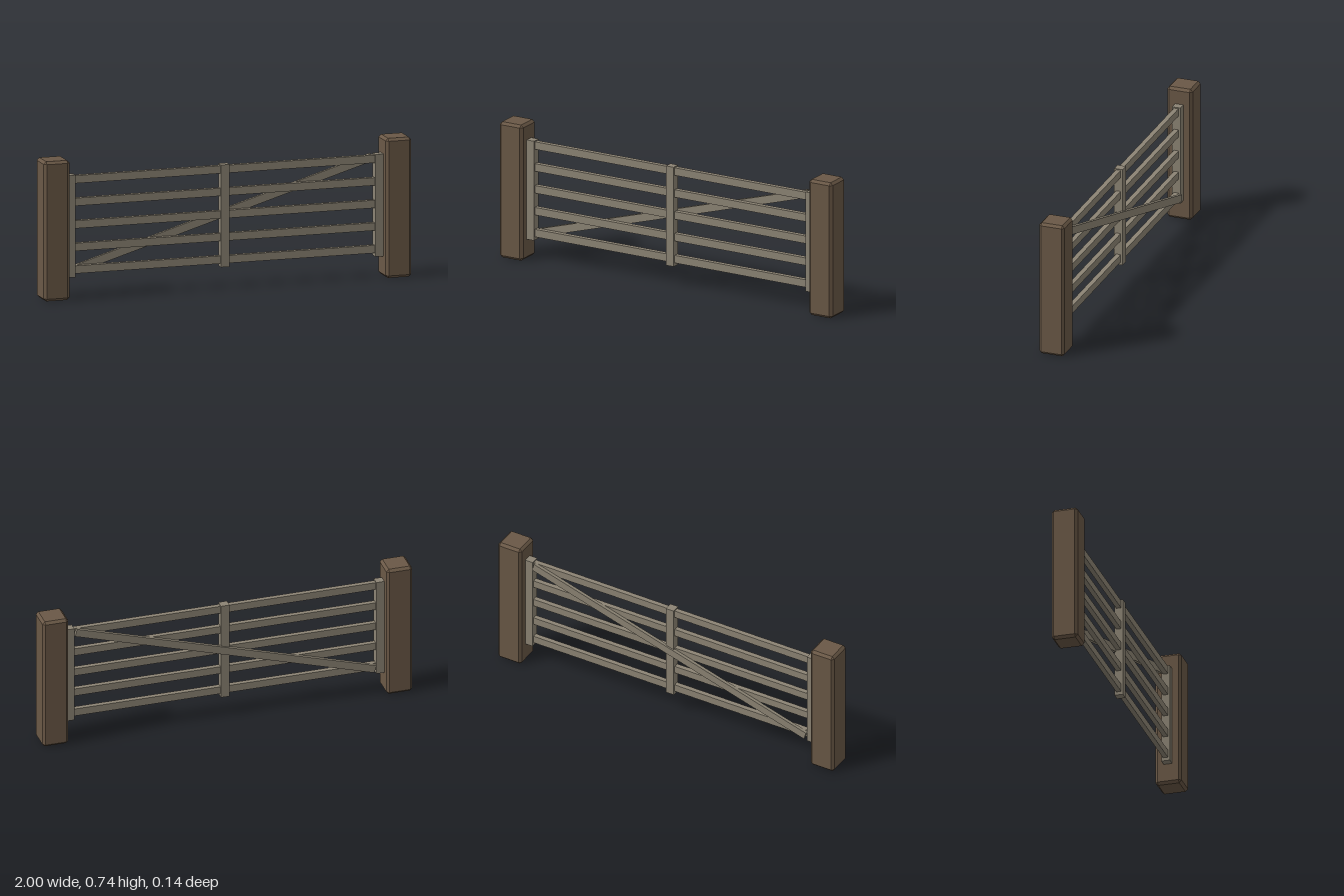
import * as THREE from 'three';
import { ConvexGeometry } from 'three/addons/geometries/ConvexGeometry.js';

// Box with every edge cut at 45 degrees
function chamferedBox(w, h, d, c) {
  const points = [];
  for (const x of [-1, 1]) for (const y of [-1, 1]) for (const z of [-1, 1]) {
    const [a, b, e] = [w / 2, h / 2, d / 2];
    points.push(
      new THREE.Vector3(x * a, y * (b - c), z * (e - c)),
      new THREE.Vector3(x * (a - c), y * b, z * (e - c)),
      new THREE.Vector3(x * (a - c), y * (b - c), z * e)
    );
  }
  return new ConvexGeometry(points);
}

export function createModel() {
  const model = new THREE.Group();
  model.name = 'fieldGate';

  const postWood = new THREE.MeshStandardMaterial({ color: 0x6a5846 });
  postWood.name = 'dark post wood';
  const gateWood = new THREE.MeshStandardMaterial({ color: 0x8c8474 });
  gateWood.name = 'weathered gate wood';

  const add = (name, geometry, material, x, y, z) => {
    const mesh = new THREE.Mesh(geometry, material);
    mesh.name = name;
    mesh.position.set(x, y, z);
    model.add(mesh);
    return mesh;
  };

  // Posts at both ends
  const postGeometry = chamferedBox(0.14, 0.737, 0.14, 0.0135);
  add('leftPost', postGeometry, postWood, 0.93, 0.3685, 0);
  add('rightPost', postGeometry, postWood, -0.93, 0.3685, 0);

  // Upright stiles: two ends and the middle
  const stileGeometry = new THREE.BoxGeometry(0.047, 0.54, 0.046);
  add('leftStile', stileGeometry, gateWood, 0.84, 0.379, 0);
  add('middleStile', stileGeometry, gateWood, 0, 0.379, 0);
  add('rightStile', stileGeometry, gateWood, -0.84, 0.379, 0);

  // Five horizontal rails
  const railGeometry = new THREE.BoxGeometry(1.66, 0.041, 0.026);
  for (let i = 0; i < 5; i++) {
    add(`rail${i + 1}`, railGeometry, gateWood, 0, 0.147 + i * 0.119, 0);
  }

  // Diagonal brace across the back
  const brace = add('diagonalBrace', new THREE.BoxGeometry(1.69, 0.042, 0.018),
    gateWood, 0, 0.385, -0.023);
  brace.rotation.z = Math.atan(0.3);

  return model;
}
